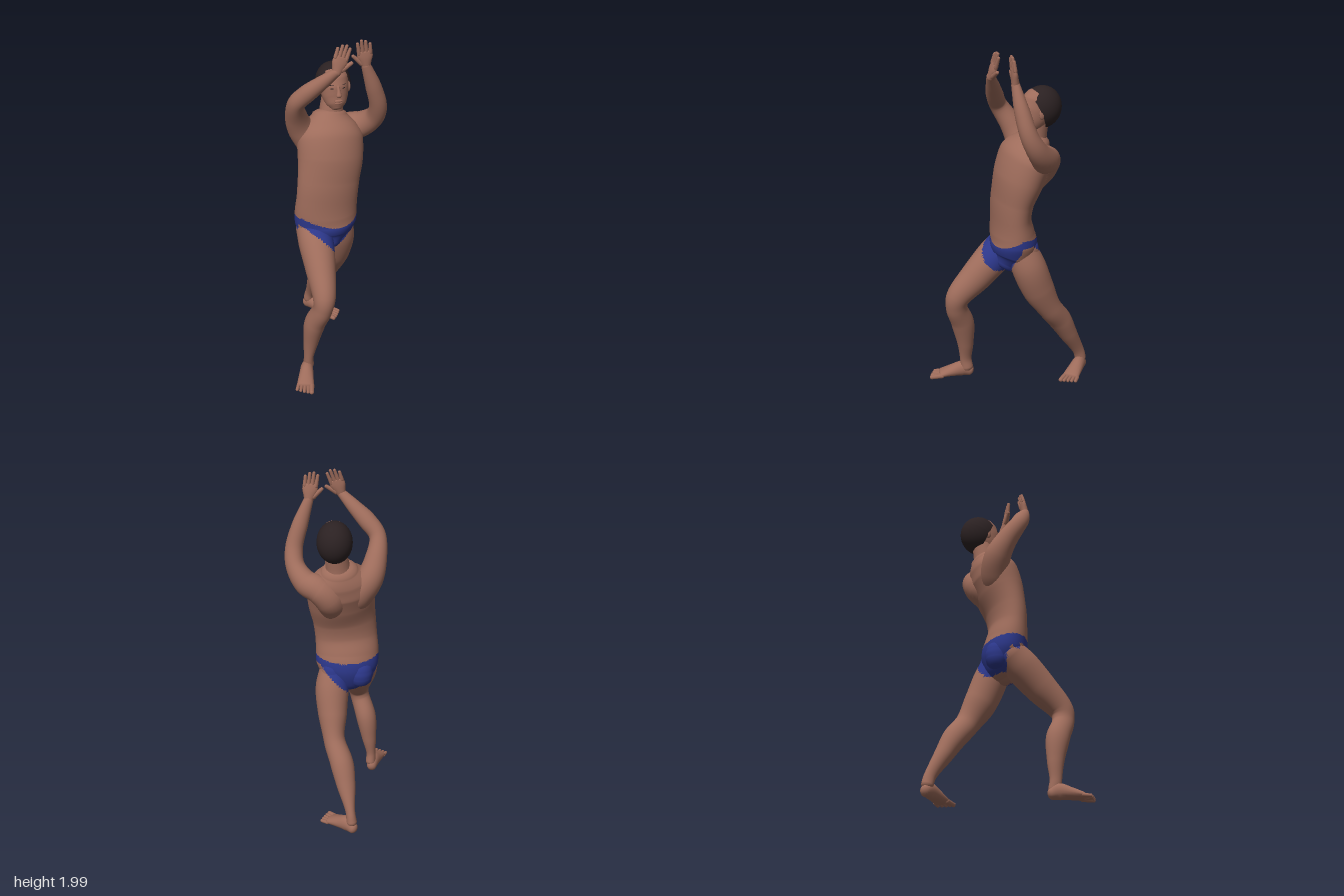
import * as THREE from 'three';

const V = (x, y, z) => new THREE.Vector3(x, y, z);
const skin = new THREE.MeshStandardMaterial({ color: 0x9e6c5b });
const trunks = new THREE.MeshStandardMaterial({ color: 0x2c378a });
const hair = new THREE.MeshStandardMaterial({ color: 0x2b2122, side: THREE.DoubleSide });
skin.name = 'skin';
trunks.name = 'trunks blue';
hair.name = 'hair dark';

// hip frame: the pelvis is turned to the model's right
const hipSide = V(0.85, 0, 0.53), hipFront = V(-0.53, 0, 0.85), hipCentre = V(0.045, 0, 0.05);
const chestSide = V(0.94, 0, 0.34);

// true where the swimming trunks cover the body
function inTrunks(p) {
  const d = p.clone().sub(hipCentre);
  const u = d.dot(hipSide), v = d.dot(hipFront);
  const across = Math.min(1, Math.abs(u) / 0.18), dx = Math.abs(d.x);
  let top, bottom;
  if (v > (u < 0 ? 0.05 : 0)) {
    // front: a V rising from the crotch to the hips
    top = 0.885 + 0.055 * Math.min(1, dx / 0.165) ** 2;
    bottom = 0.71 + 0.185 * Math.max(0, dx - 0.025) / 0.145;
  } else {
    // back: cut higher over the stretched left leg
    top = 0.92 + 0.02 * across ** 2;
    bottom = u < 0 ? 0.735 + 0.15 * across ** 4 : 0.75 + 0.145 * Math.min(1, u / 0.15);
  }
  return p.y < top && p.y > bottom;
}

// smooth skin over elliptical rings [x, y, z, halfWidth, halfDepth], with rounded ends
function loft(name, rings, side, { side2 = side, seg = 20, steps = 5, cap = 0.8, paint = null } = {}) {
  const path = new THREE.CatmullRomCurve3(rings.map(r => V(r[0], r[1], r[2])));
  const size = new THREE.CatmullRomCurve3(rings.map(r => V(r[3], r[4], 0)));
  const n = (rings.length - 1) * steps, capSteps = 4, stations = [];
  const round = (u, sign, k) => {
    const a = k / capSteps * Math.PI / 2;
    stations.push([u, sign * Math.cos(a), Math.sin(a)]);
  };
  for (let k = 1; k <= capSteps; k++) round(0, -1, k);
  for (let i = 1; i < n; i++) stations.push([i / n, 0, 1]);
  for (let k = capSteps; k >= 1; k--) round(1, 1, k);

  const pts = [];
  for (const [u, out, scale] of stations) {
    const t = path.getTangent(u), r = size.getPoint(u);
    const s = side.clone().lerp(side2, u);
    s.addScaledVector(t, -s.dot(t)).normalize();
    const b = t.clone().cross(s);
    const c = path.getPoint(u).addScaledVector(t, out * cap * Math.min(r.x, r.y));
    for (let j = 0; j < seg; j++) {
      const a = j / seg * Math.PI * 2;
      pts.push(c.clone().addScaledVector(s, r.x * scale * Math.cos(a)).addScaledVector(b, r.y * scale * Math.sin(a)));
    }
  }
  const last = stations.length - 1;
  for (const [u, sign] of [[0, -1], [1, 1]]) {
    const r = size.getPoint(u);
    pts.push(path.getPoint(u).addScaledVector(path.getTangent(u), sign * cap * Math.min(r.x, r.y)));
  }
  const faces = [[], []];
  const tri = (a, b, c) => {
    const mid = pts[a].clone().add(pts[b]).add(pts[c]).divideScalar(3);
    faces[paint && paint(mid) ? 1 : 0].push(a, b, c);
  };
  for (let j = 0; j < seg; j++) {
    const k = (j + 1) % seg;
    for (let i = 0; i < last; i++) {
      const a = i * seg, b = a + seg;
      tri(a + j, a + k, b + k);
      tri(a + j, b + k, b + j);
    }
    tri(pts.length - 2, k, j);
    tri(pts.length - 1, last * seg + j, last * seg + k);
  }
  const g = new THREE.BufferGeometry().setFromPoints(pts);
  g.setIndex([...faces[0], ...faces[1]]);
  g.addGroup(0, faces[0].length, 0);
  g.addGroup(faces[0].length, faces[1].length, 1);
  g.computeVertexNormals();
  const mesh = new THREE.Mesh(g, paint ? [skin, trunks] : skin);
  mesh.name = name;
  return mesh;
}

// round finger or toe from p to q
function digit(name, p, q, r0, r1) {
  const mid = p.clone().lerp(q, 0.5), rm = (r0 + r1) / 2;
  return loft(name, [[p.x, p.y, p.z, r0, r0], [mid.x, mid.y, mid.z, rm, rm], [q.x, q.y, q.z, r1, r1]],
    V(0.8, 0.1, 0.59), { seg: 8, steps: 2 });
}

function blob(name, pos, scale, mat = skin) {
  const m = new THREE.Mesh(new THREE.SphereGeometry(1, 20, 14), mat);
  m.name = name;
  m.position.copy(pos);
  m.scale.copy(scale);
  return m;
}

// open hand: w points to the thumb
function hand(name, wrist, dir, w) {
  const g = new THREE.Group();
  g.name = name;
  dir.normalize();
  w.addScaledVector(dir, -w.dot(dir)).normalize();
  const at = (l, s) => wrist.clone().addScaledVector(dir, l).addScaledVector(w, s);
  g.add(loft('palm', [[0, 0.024, 0.022], [0.03, 0.033, 0.02], [0.06, 0.042, 0.017], [0.085, 0.04, 0.012]]
    .map(([l, a, b]) => [...at(l, 0).toArray(), a, b]), w, { seg: 14, steps: 3 }));
  [0.062, 0.074, 0.068, 0.05].forEach((len, i) => {
    const s = 0.03 - i * 0.02;
    g.add(digit('finger', at(0.08, s), at(0.08 + len, s * 1.1), 0.0118, 0.0085));
  });
  g.add(digit('thumb', at(0.02, 0.022), at(0.072, 0.064), 0.015, 0.01));
  return g;
}

// foot from heel along d; medial picks the big toe's side
function foot(name, heel, d, medial) {
  const g = new THREE.Group();
  g.name = name;
  d.normalize();
  const m = V(d.z, 0, -d.x).multiplyScalar(medial);
  const at = (l, s, y) => heel.clone().addScaledVector(d, l).addScaledVector(m, s).setY(y);
  g.add(loft('sole', [[0.025, 0.034, 0.029, 0.033], [0.065, 0.047, 0.036, 0.046], [0.12, 0.038, 0.042, 0.036], [0.19, 0.022, 0.049, 0.021]]
    .map(([l, y, a, b]) => [...at(l, 0, y).toArray(), a, b]), m, { seg: 18, steps: 4 }));
  [0.062, 0.062, 0.057, 0.05, 0.042].forEach((len, i) => {
    const s = 0.035 - i * 0.0185, r = i ? 0.0105 : 0.0145;
    g.add(digit('toe', at(0.188, s, 0.018), at(0.188 + len, s * 1.15, 0.0135), r * 1.1, r * 0.92));
  });
  return g;
}

function makeHead() {
  const g = new THREE.Group();
  g.name = 'head';
  g.position.set(0.16, 1.655, -0.02);
  g.rotation.set(-0.08, -0.46, 0, 'YXZ');
  g.add(loft('skull', [
    [0, -0.112, 0.056, 0.032, 0.033], [0, -0.09, 0.046, 0.054, 0.056], [0, -0.05, 0.026, 0.071, 0.078],
    [0, 0, 0.006, 0.079, 0.096], [0, 0.05, -0.008, 0.08, 0.095], [0, 0.09, -0.016, 0.064, 0.074],
    [0, 0.104, -0.019, 0.04, 0.048]], V(1, 0, 0), { seg: 28, cap: 0.3 }));
  // hair cap, tilted to the back of the head
  const cap = new THREE.SphereGeometry(1, 36, 20, 0, Math.PI * 2, 0, 1.94);
  cap.rotateX(-1.05);
  cap.scale(0.097, 0.117, 0.11);
  cap.computeVertexNormals();
  const hairCap = new THREE.Mesh(cap, hair);
  hairCap.name = 'hair';
  hairCap.position.set(0, 0.014, -0.022);
  g.add(hairCap);
  // face
  g.add(loft('nose', [[0, 0.026, 0.094, 0.008, 0.008], [0, 0, 0.104, 0.01, 0.011], [0, -0.022, 0.111, 0.016, 0.014]],
    V(1, 0, 0), { seg: 12, steps: 3 }));
  g.add(blob('upperLip', V(0, -0.056, 0.099), V(0.025, 0.008, 0.008)));
  g.add(blob('lowerLip', V(0, -0.069, 0.096), V(0.021, 0.008, 0.008)));
  for (const s of [-1, 1]) {
    g.add(blob('ear', V(s * 0.081, -0.008, 0.008), V(0.011, 0.03, 0.018)));
    const eye = blob('eye', V(s * 0.033, 0.014, 0.089), V(0.009, 0.003, 0.004), hair);
    const brow = blob('eyebrow', V(s * 0.034, 0.032, 0.084), V(0.016, 0.002, 0.004), hair);
    eye.rotation.y = brow.rotation.y = s * 0.42;
    g.add(eye, brow);
  }
  return g;
}

export function createModel() {
  const body = new THREE.Group();
  body.name = 'figure';

  body.add(loft('torso', [
    [0.035, 0.745, 0.085, 0.07, 0.075], [0.045, 0.8, 0.06, 0.14, 0.115], [0.045, 0.88, 0.05, 0.176, 0.128],
    [0.04, 0.95, 0.056, 0.178, 0.117], [0.04, 1.05, 0.068, 0.175, 0.103], [0.052, 1.15, 0.066, 0.177, 0.108],
    [0.08, 1.27, 0.048, 0.186, 0.13], [0.1, 1.37, 0.02, 0.188, 0.136], [0.12, 1.44, -0.008, 0.155, 0.115],
    [0.132, 1.49, -0.024, 0.1, 0.085]], hipSide, { side2: chestSide, seg: 120, steps: 10, cap: 0.45, paint: inTrunks }));
  body.add(loft('neck', [[0.13, 1.43, -0.015, 0.085, 0.08], [0.14, 1.51, -0.018, 0.067, 0.067], [0.155, 1.6, -0.022, 0.06, 0.064]], chestSide));
  body.add(makeHead());

  // buttocks
  for (const s of [-1, 1]) {
    const q = hipCentre.clone().addScaledVector(hipFront, -0.055).addScaledVector(hipSide, s * 0.075);
    body.add(loft('buttock', [[q.x, 0.81, q.z, 0.07, 0.068], [q.x, 0.84, q.z, 0.073, 0.071], [q.x, 0.87, q.z, 0.07, 0.066]],
      hipSide, { seg: 60, steps: 8, paint: inTrunks }));
  }

  // legs: right one steps forward, left one stretches back
  body.add(loft('rightLeg', [
    [-0.035, 0.85, 0.02, 0.09, 0.09], [-0.06, 0.78, 0.09, 0.099, 0.1], [-0.11, 0.67, 0.187, 0.085, 0.092],
    [-0.167, 0.55, 0.284, 0.064, 0.07], [-0.18, 0.48, 0.284, 0.056, 0.062], [-0.188, 0.37, 0.23, 0.06, 0.066],
    [-0.195, 0.22, 0.2, 0.043, 0.047], [-0.203, 0.11, 0.19, 0.028, 0.034], [-0.198, 0.06, 0.185, 0.03, 0.035]],
  hipSide, { seg: 76, steps: 11, paint: inTrunks }));
  body.add(loft('leftLeg', [
    [0.115, 0.86, 0.06, 0.085, 0.085], [0.152, 0.74, 0.035, 0.095, 0.098], [0.18, 0.6, -0.015, 0.082, 0.092],
    [0.208, 0.47, -0.084, 0.061, 0.069], [0.211, 0.37, -0.17, 0.066, 0.067], [0.222, 0.26, -0.237, 0.054, 0.053],
    [0.24, 0.12, -0.318, 0.027, 0.034], [0.242, 0.07, -0.333, 0.03, 0.034]],
  V(0.92, 0, 0.38), { seg: 76, steps: 11, paint: inTrunks }));
  body.add(foot('rightFoot', V(-0.177, 0, 0.15), V(-0.7, 0, 0.72), 1));
  body.add(foot('leftFoot', V(0.233, 0, -0.37), V(0.29, 0, 0.957), -1));

  // arms raised in front of the head, growing out of the shoulder blades
  body.add(loft('rightArm', [
    [0.055, 1.25, -0.005, 0.07, 0.06], [0.025, 1.34, -0.05, 0.085, 0.08], [-0.025, 1.43, -0.08, 0.076, 0.078],
    [-0.072, 1.52, -0.064, 0.062, 0.064], [-0.118, 1.635, -0.008, 0.047, 0.05], [-0.09, 1.705, 0.05, 0.05, 0.048],
    [-0.045, 1.775, 0.115, 0.04, 0.038], [0, 1.845, 0.18, 0.025, 0.023]], chestSide, { seg: 28, steps: 6 }));
  body.add(loft('leftArm', [
    [0.15, 1.24, 0.02, 0.07, 0.06], [0.19, 1.33, -0.015, 0.085, 0.085], [0.243, 1.39, 0.005, 0.078, 0.078],
    [0.287, 1.415, 0.07, 0.068, 0.073], [0.307, 1.487, 0.155, 0.053, 0.058], [0.289, 1.575, 0.2, 0.049, 0.049],
    [0.245, 1.7, 0.207, 0.044, 0.042], [0.192, 1.838, 0.2, 0.026, 0.023]], chestSide, { seg: 28, steps: 6 }));
  body.add(hand('rightHand', V(0, 1.84, 0.18), V(0.055, 0.15, 0.006), V(0.85, 0, 0.45)));
  body.add(hand('leftHand', V(0.193, 1.833, 0.2), V(-0.025, 0.155, 0.002), V(-0.82, 0, -0.52)));
  return body;
}
